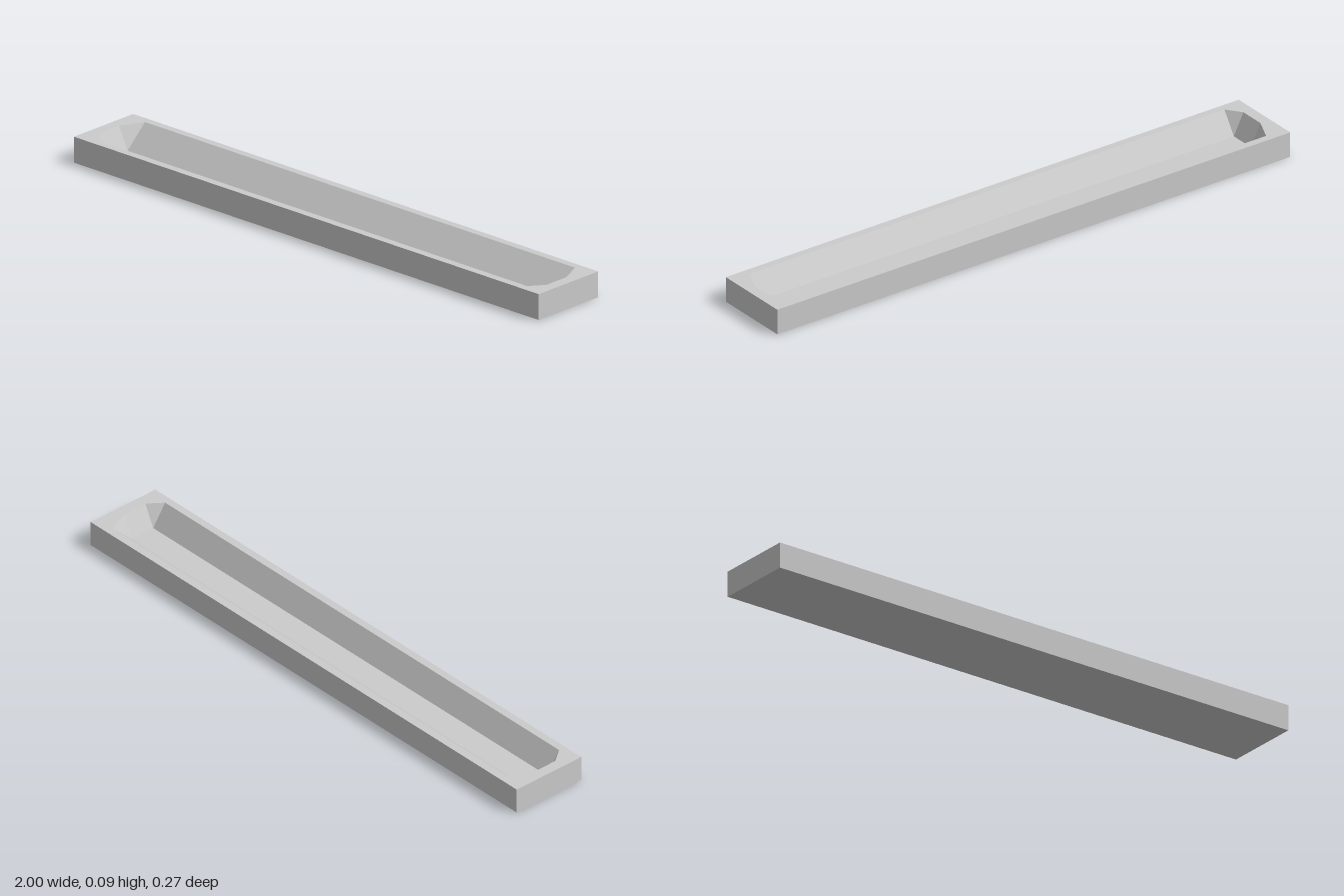
import * as THREE from 'three';

const material = new THREE.MeshStandardMaterial({ color: 0xcccccc, flatShading: true, side: THREE.DoubleSide });

// Eight points, counter-clockwise from above: two long sides joined by chamfered ends.
// sideX/sideZ place the long-side corners, endX/back/front the middle of each end.
function ring(y, sideX, backZ, frontZ, endX, endBack = -0.03, endFront = 0.06) {
  return [
    [sideX, backZ], [-sideX, backZ], [-endX, endBack], [-endX, endFront],
    [-sideX, frontZ], [sideX, frontZ], [endX, endFront], [endX, endBack],
  ].map(([x, z]) => new THREE.Vector3(x, y, z));
}

// Band of quads from one ring to the next
function band(a, b) {
  const tris = [];
  a.forEach((p, i) => {
    const j = (i + 1) % a.length;
    tris.push(p, a[j], b[j], p, b[j], b[i]);
  });
  return tris;
}

// Flat fan closing a ring
function cap(r, faceUp) {
  const tris = [];
  for (let i = 1; i < r.length - 1; i++) {
    tris.push(r[0], ...(faceUp ? [r[i], r[i + 1]] : [r[i + 1], r[i]]));
  }
  return tris;
}

function part(name, points) {
  // Drop triangles with no area, where ring points coincide
  const kept = [];
  for (let i = 0; i < points.length; i += 3) {
    const t = new THREE.Triangle(points[i], points[i + 1], points[i + 2]);
    if (t.getArea() > 1e-9) kept.push(t.a, t.b, t.c);
  }
  const geometry = new THREE.BufferGeometry().setFromPoints(kept);
  geometry.computeVertexNormals();
  const mesh = new THREE.Mesh(geometry, material);
  mesh.name = name;
  return mesh;
}

export function createModel() {
  const base = ring(0, 1, -0.136, 0.136, 1);
  const top = ring(0.087, 1, -0.136, 0.136, 1);
  const opening = ring(0.087, 0.925, -0.11, 0.11, 0.962);
  const floor = ring(0.013, 0.925, -0.03, 0.06, 0.925);

  const model = new THREE.Group();
  model.name = 'trough';
  model.add(
    part('outerBlock', [...band(base, top), ...cap(base, false)]),
    part('rim', band(top, opening)),
    part('basinWalls', band(opening, floor)),
    part('basinFloor', cap(floor, true)),
  );
  return model;
}
